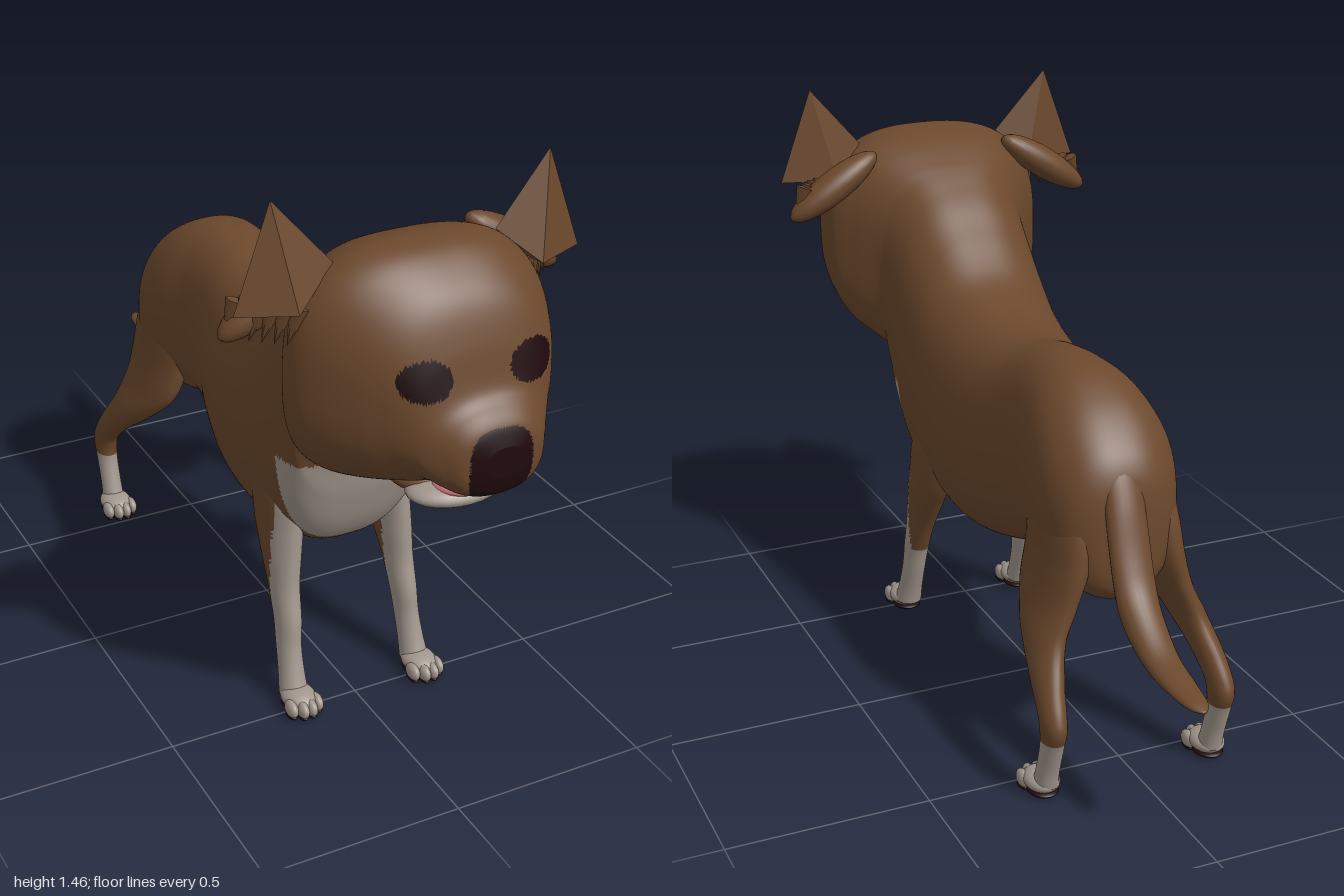
import * as THREE from 'three';
import { ConvexGeometry } from 'three/addons/geometries/ConvexGeometry.js';

const mat = (name, color) => Object.assign(new THREE.MeshStandardMaterial({ color }), { name });
const CX = 0.015; // body axis, slightly off centre

// Smooth interpolation of rows of numbers
function resample(keys, steps) {
  const rows = [], at = i => keys[Math.min(Math.max(i, 0), keys.length - 1)];
  for (let i = 0; i < keys.length - 1; i++) {
    for (let k = 0; k < steps; k++) {
      const t = k / steps;
      rows.push(keys[i].map((_, c) => {
        const p0 = at(i - 1)[c], p1 = at(i)[c], p2 = at(i + 1)[c], p3 = at(i + 2)[c];
        return p1 + 0.5 * t * (p2 - p0 + t * (2 * p0 - 5 * p1 + 4 * p2 - p3 + t * (3 * (p1 - p2) + p3 - p0)));
      }));
    }
  }
  rows.push(keys[keys.length - 1]);
  return rows;
}

// Closed loft through rings [x, y, z, halfWidth, halfDepth]; power(z) below 1 makes a ring boxier,
// paint(x, y, z) picks the material index
function loft(name, keys, { upright = false, steps = 6, sides = 24, power = () => 1, materials, paint = () => 0 }) {
  const rows = resample(keys, steps), pos = [], groups = materials.map(() => []);
  const bend = (v, p) => Math.sign(v) * Math.abs(v) ** p;
  for (const [x, y, z, a, b] of rows) {
    const p = power(z);
    for (let j = 0; j < sides; j++) {
      const t = j / sides * Math.PI * 2, u = bend(Math.cos(t), p) * a, v = bend(Math.sin(t), p) * b;
      if (upright) pos.push(x + u, y, z - v); else pos.push(x + u, y + v, z);
    }
  }
  const first = rows.length * sides, last = first + 1;
  pos.push(...rows[0].slice(0, 3), ...rows[rows.length - 1].slice(0, 3));
  const tri = (...ids) => {
    const c = [0, 1, 2].map(k => ids.reduce((s, i) => s + pos[i * 3 + k], 0) / 3);
    groups[paint(...c)].push(...ids);
  };
  for (let j = 0; j < sides; j++) {
    const n = (j + 1) % sides, end = (rows.length - 1) * sides;
    tri(first, n, j);
    for (let i = 0; i < rows.length - 1; i++) {
      const a = i * sides, b = a + sides;
      tri(a + j, a + n, b + n);
      tri(a + j, b + n, b + j);
    }
    tri(last, end + j, end + n);
  }
  const geo = new THREE.BufferGeometry();
  geo.setAttribute('position', new THREE.Float32BufferAttribute(pos, 3));
  geo.setIndex(groups.flat());
  let start = 0;
  groups.forEach((g, i) => { geo.addGroup(start, g.length, i); start += g.length; });
  geo.computeVertexNormals();
  const mesh = new THREE.Mesh(geo, materials);
  mesh.name = name;
  return mesh;
}

function ball(name, material, [x, y, z], [a, b, c], tilt = 0) {
  const mesh = new THREE.Mesh(new THREE.SphereGeometry(1, 24, 16), material);
  mesh.name = name;
  mesh.position.set(x, y, z);
  mesh.scale.set(a, b, c);
  mesh.rotation.z = tilt;
  return mesh;
}

export function createModel() {
  const dog = new THREE.Group();
  dog.name = 'dog';
  const brown = mat('brown coat', 0x6b482c);
  const pale = mat('pale fur', 0xa2978d);
  const dark = mat('dark nose and eyes', 0x1f090c);
  const pink = mat('pink tongue', 0xc9737c);

  // Torso, neck and head: z, x, top, bottom, half width
  const trunk = [
    [-0.585, 0.02, 0.70, 0.52, 0.05], [-0.57, 0.02, 0.78, 0.48, 0.10], [-0.53, 0.02, 0.845, 0.455, 0.145],
    [-0.45, 0.015, 0.915, 0.45, 0.175], [-0.35, 0.015, 0.965, 0.46, 0.17], [-0.25, 0.02, 0.98, 0.475, 0.152],
    [-0.15, 0.02, 0.97, 0.44, 0.152], [-0.05, 0.015, 0.95, 0.405, 0.172], [0.05, 0.01, 0.955, 0.375, 0.19],
    [0.15, 0.01, 0.98, 0.36, 0.20], [0.25, 0.01, 1.025, 0.37, 0.205], [0.35, 0.01, 1.11, 0.39, 0.205],
    [0.42, 0.01, 1.175, 0.415, 0.206], [0.47, 0.01, 1.215, 0.48, 0.206], [0.51, 0.01, 1.245, 0.585, 0.208],
    [0.54, 0.01, 1.265, 0.695, 0.218], [0.60, 0.01, 1.30, 0.73, 0.26], [0.66, 0.01, 1.325, 0.75, 0.298],
    [0.72, 0.01, 1.335, 0.765, 0.303], [0.78, 0.022, 1.32, 0.78, 0.282], [0.84, 0.037, 1.275, 0.80, 0.243],
    [0.88, 0.048, 1.225, 0.818, 0.208], [0.91, 0.055, 1.15, 0.82, 0.176], [0.935, 0.062, 1.055, 0.815, 0.15],
    [0.96, 0.068, 1.02, 0.81, 0.126], [0.985, 0.072, 0.985, 0.825, 0.098], [1.0, 0.075, 0.94, 0.87, 0.045],
  ].map(([z, x, top, bottom, w]) => [x, (top + bottom) / 2, z, w, (top - bottom) / 2]);
  const boxyHead = z => 0.86 - 0.17 * Math.exp(-(((z - 0.58) / 0.25) ** 2));
  const coat = (x, y, z) => {
    const eye = z > 0.8 && [-0.08, 0.18].some(e => ((x - e) / 0.06) ** 2 + ((y - 1.088) / 0.046) ** 2 < 1);
    const nose = z > 0.95 && Math.abs((x - 0.066) / 0.077) ** 3 + Math.abs((y - 0.895) / 0.088) ** 3 < 1;
    if (eye || nose) return 2;
    return z > 0.435 && y < 0.7 ? 1 : 0;
  };
  dog.add(loft('trunkAndHead', trunk, { steps: 9, sides: 128, power: boxyHead, materials: [brown, pale, dark], paint: coat }));

  // Lower jaw, tongue and belly bump
  dog.add(ball('chin', brown, [0.04, 0.79, 0.78], [0.12, 0.04, 0.09]));
  dog.add(ball('lowerJaw', pale, [0.045, 0.777, 0.845], [0.12, 0.033, 0.08]));
  dog.add(ball('tongue', pink, [0.045, 0.798, 0.862], [0.07, 0.022, 0.065]));
  dog.add(ball('bellyBump', brown, [0.02, 0.445, -0.16], [0.03, 0.03, 0.06]));

  // Tail
  const tail = [
    [0.025, 0.84, -0.48, 0.045, 0.03], [0.03, 0.755, -0.55, 0.05, 0.055], [0.037, 0.65, -0.60, 0.052, 0.075],
    [0.042, 0.54, -0.65, 0.052, 0.066], [0.044, 0.475, -0.70, 0.05, 0.05], [0.046, 0.418, -0.80, 0.043, 0.03],
    [0.046, 0.4, -0.90, 0.036, 0.018], [0.046, 0.395, -0.97, 0.025, 0.011], [0.046, 0.393, -1.0, 0.006, 0.003],
  ].reverse();
  dog.add(loft('tail', tail, { materials: [brown] }));

  // Leg rings from the ground up: y, x, z, half width, half depth
  const front = [
    [0.03, 0.172, 0.47, 0.036, 0.042], [0.08, 0.17, 0.452, 0.032, 0.038], [0.15, 0.167, 0.43, 0.03, 0.04],
    [0.22, 0.163, 0.415, 0.032, 0.047], [0.30, 0.16, 0.387, 0.036, 0.056], [0.38, 0.155, 0.36, 0.043, 0.078],
    [0.46, 0.148, 0.335, 0.048, 0.10], [0.55, 0.135, 0.32, 0.055, 0.11], [0.65, 0.12, 0.30, 0.05, 0.09],
  ];
  const hind = [
    [0.03, 0.222, -0.585, 0.03, 0.035], [0.08, 0.222, -0.60, 0.028, 0.032], [0.15, 0.222, -0.622, 0.028, 0.035],
    [0.20, 0.222, -0.63, 0.03, 0.045], [0.24, 0.22, -0.615, 0.032, 0.05], [0.30, 0.21, -0.565, 0.036, 0.065],
    [0.38, 0.186, -0.49, 0.042, 0.095], [0.46, 0.152, -0.445, 0.048, 0.13], [0.55, 0.125, -0.435, 0.055, 0.14],
    [0.65, 0.11, -0.425, 0.058, 0.135], [0.75, 0.09, -0.42, 0.05, 0.10],
  ];
  const frontCoat = (x, y, z) => (y > 0.22 && z < 0.385 ? 0 : 1);
  const hindCoat = (x, y) => (y > 0.17 ? 0 : 1);

  for (const side of [-1, 1]) {
    const label = side > 0 ? 'left' : 'right';
    const px = x => CX + side * x;
    const legs = [['FrontLeg', front, frontCoat, 0.172, 0.495], ['HindLeg', hind, hindCoat, 0.224, -0.565]];
    for (const [name, keys, paint, x, z] of legs) {
      const leg = new THREE.Group();
      leg.name = label + name;
      const rings = keys.map(([y, kx, kz, a, b]) => [px(kx), y, kz, a, b]);
      leg.add(loft('limb', rings, { upright: true, steps: 8, sides: 32, materials: [brown, pale], paint }));
      leg.add(ball('paw', pale, [px(x), 0.033, z], [0.043, 0.026, 0.056]));
      leg.add(ball('heelPad', dark, [px(x), 0.01, z - 0.008], [0.038, 0.01, 0.045]));
      // Toes with pads
      for (let i = 0; i < 4; i++) {
        const tx = px(x) + (i - 1.5) * 0.023, tz = z + (i % 3 ? 0.045 : 0.03);
        leg.add(ball('toe', pale, [tx, 0.026, tz], [0.014, 0.022, 0.028]));
        leg.add(ball('toePad', dark, [tx, 0.008, tz], [0.012, 0.008, 0.023]));
      }
      dog.add(leg);
    }

    // Upright pointed ear
    const corners = [[0.34, 1.46, 0.685], [0.428, 1.215, 0.69], [0.30, 1.215, 0.745], [0.20, 1.30, 0.70], [0.28, 1.215, 0.655]];
    const ear = new THREE.Mesh(new ConvexGeometry(corners.map(([x, y, z]) => new THREE.Vector3(0.01 + side * x, y, z))), brown);
    ear.name = label + 'EarTip';
    dog.add(ear);

    // Folded ear flap with a ragged fringe
    const flapZ = side > 0 ? 0.6 : 0.625;
    dog.add(ball(label + 'EarFlap', brown, [0.01 + side * 0.31, 1.215, flapZ], [0.145, 0.042, 0.05], -side * 0.58));
    for (let i = 0; i < 6; i++) {
      const tuft = new THREE.Mesh(new THREE.ConeGeometry(0.024, 0.09, 6), brown);
      tuft.name = label + 'EarTuft';
      tuft.position.set(0.01 + side * (0.30 + i * 0.021), 1.178, flapZ + 0.09 - i * 0.018);
      tuft.rotation.z = Math.PI + side * 0.35;
      dog.add(tuft);
    }
  }
  return dog;
}
